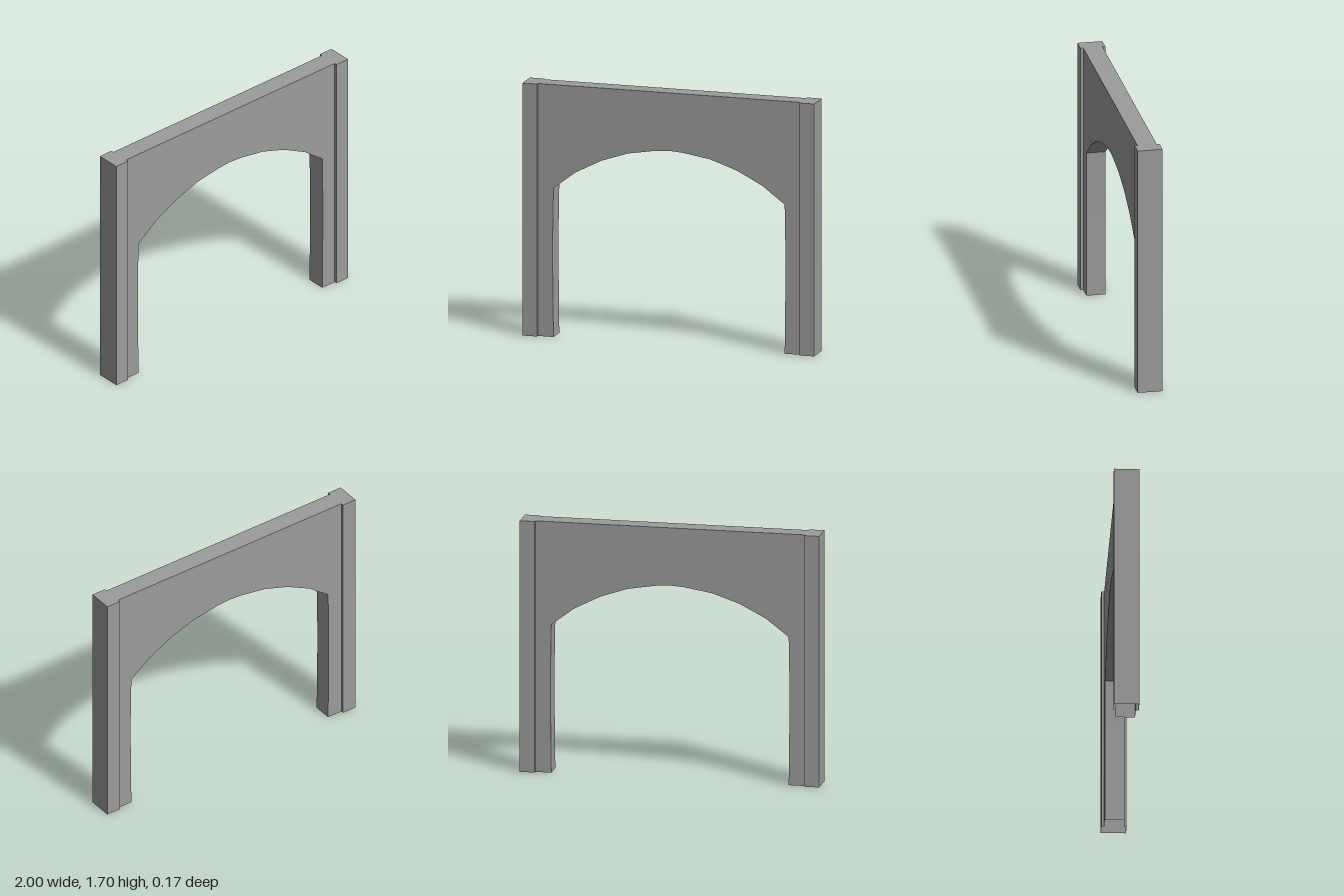
import * as THREE from 'three';
import { toCreasedNormals } from 'three/addons/utils/BufferGeometryUtils.js';

const HEIGHT = 1.695;
const INNER = 0.9; // where the wall meets a post
const POST_HALF = 0.083, WALL_HALF = 0.064; // half depths

// Open the underside and the joint between wall and post, leaving one hollow shell
function hollow(geometry) {
  const { array } = geometry.attributes.position;
  const near = (a, b) => Math.abs(a - b) < 1e-4;
  const kept = [];
  for (let i = 0; i < array.length; i += 9) {
    const corners = [0, 3, 6].map((k) => Array.from(array.slice(i + k, i + k + 3)));
    const underside = corners.every(([, y]) => near(y, 0));
    const joint = corners.every(([x, , z]) =>
      near(x, corners[0][0]) && near(Math.abs(x), INNER) && Math.abs(z) < WALL_HALF + 1e-4);
    if (!underside && !joint) kept.push(...corners.flat());
  }
  const shell = new THREE.BufferGeometry();
  shell.setAttribute('position', new THREE.Float32BufferAttribute(kept, 3));
  return toCreasedNormals(shell, 0.4);
}

function extrude(points, depth) {
  const shape = new THREE.Shape(points.map(([x, y]) => new THREE.Vector2(x, y)));
  return new THREE.ExtrudeGeometry(shape, { depth, bevelEnabled: false });
}

export function createModel() {
  const group = new THREE.Group();
  const material = new THREE.MeshStandardMaterial({ color: 0x9c9c9c, side: THREE.DoubleSide });

  // Half of the arch, from beside the crown out to the springing and down the slightly bowed leg
  const half = [
    [0.097, 1.299], [0.283, 1.268], [0.466, 1.206], [0.642, 1.115],
    [0.793, 1.0], [0.798, 0.7], [0.798, 0.45], [0.793, 0],
  ];

  // Wall with the arched opening cut up from the floor
  const wallGeometry = extrude([
    [-INNER, 0],
    ...half.map(([x, y]) => [-x, y]).reverse(),
    [0, 1.306],
    ...half,
    [INNER, 0], [INNER, HEIGHT], [-INNER, HEIGHT],
  ], 2 * WALL_HALF).translate(0, 0, -WALL_HALF);
  const wall = new THREE.Mesh(hollow(wallGeometry), material);
  wall.name = 'archWall';
  group.add(wall);

  // Thicker posts at both ends, raised from their plan
  const postGeometry = hollow(extrude([
    [INNER, -WALL_HALF], [INNER, -POST_HALF], [1, -POST_HALF],
    [1, POST_HALF], [INNER, POST_HALF], [INNER, WALL_HALF],
  ], HEIGHT).rotateX(-Math.PI / 2));
  for (const side of ['left', 'right']) {
    const post = new THREE.Mesh(postGeometry, material);
    post.rotation.y = side === 'left' ? 0 : Math.PI;
    post.name = side + 'Post';
    group.add(post);
  }

  return group;
}
